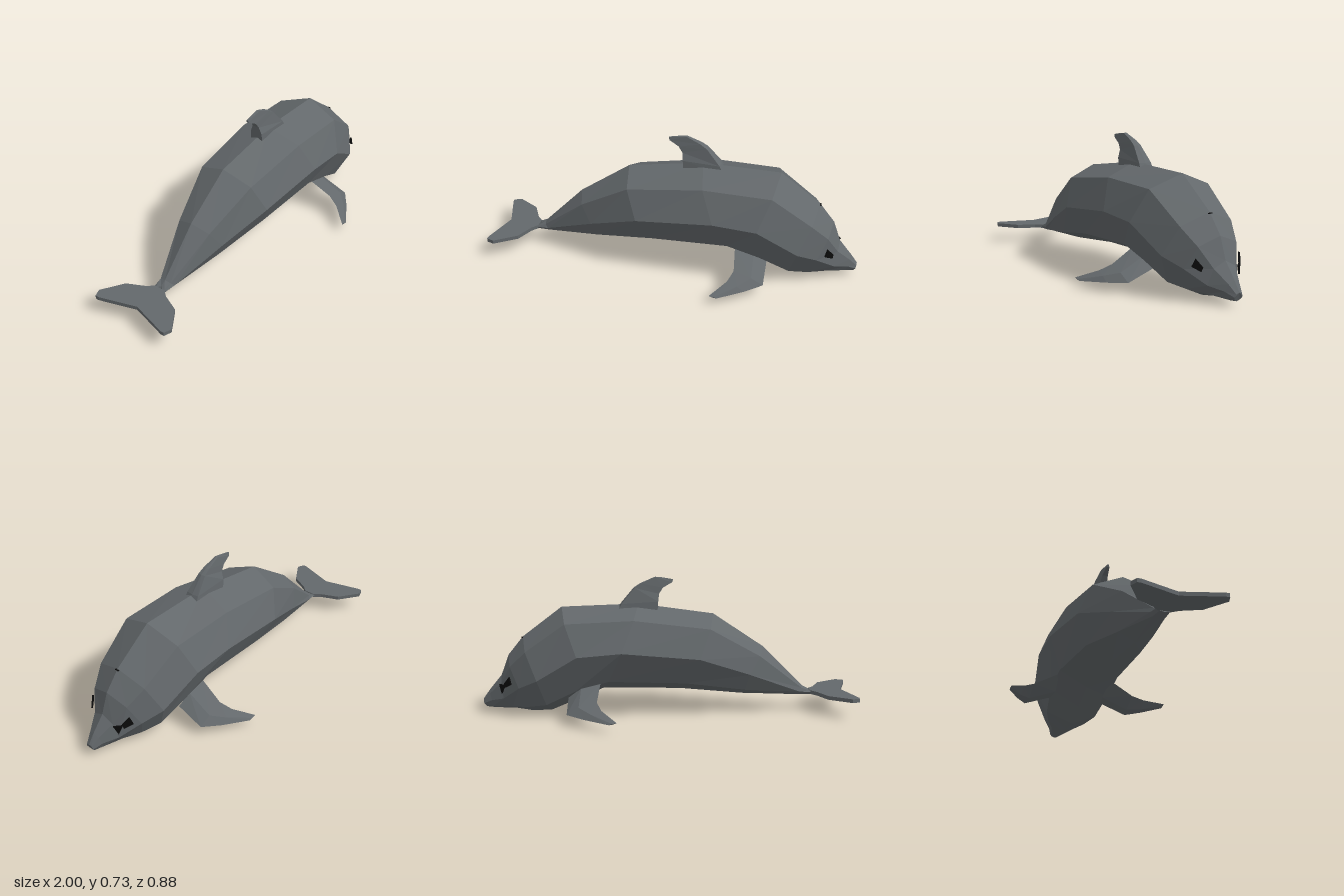
import * as THREE from 'three';

const skin = new THREE.MeshStandardMaterial({ color: 0x63686b });
skin.name = 'grey skin';
const black = new THREE.MeshStandardMaterial({ color: 0x0a0a0a });
black.name = 'black';

const MID = 0.01; // the body's centre plane in z

// Faceted solid through a list of equal-length rings, closed at both ends
function loft(rings) {
  const n = rings[0].length;
  const tris = [];
  for (let i = 0; i < rings.length - 1; i++) {
    for (let j = 0; j < n; j++) {
      const k = (j + 1) % n;
      const a = rings[i][j], b = rings[i][k], c = rings[i + 1][k], d = rings[i + 1][j];
      tris.push([a, b, d], [b, c, d]);
    }
  }
  const first = rings[0], last = rings[rings.length - 1];
  for (let j = 1; j < n - 1; j++) {
    tris.push([first[0], first[j + 1], first[j]], [last[0], last[j], last[j + 1]]);
  }
  return facets(tris);
}

// Flat-shaded geometry from a closed list of triangles, turned outward
function facets(tris) {
  const v = (p) => new THREE.Vector3(...p);
  let volume = 0;
  for (const [a, b, c] of tris) volume += v(a).dot(v(b).cross(v(c)));
  const points = tris.flatMap(([a, b, c]) => (volume < 0 ? [a, c, b] : [a, b, c]));
  const g = new THREE.BufferGeometry();
  g.setAttribute('position', new THREE.Float32BufferAttribute(points.flat(), 3));
  g.computeVertexNormals();
  return g;
}

function add(group, name, geometry, material = skin) {
  const mesh = new THREE.Mesh(geometry, material);
  mesh.name = name;
  group.add(mesh);
  return mesh;
}

// Body from tail to snout: back ridge, widest side line and belly ridge;
// the shoulder and lower side lines lie at fixed fractions between them
function bodyGeometry() {
  const stations = [
    { back: [-0.76, 0.11], side: [-0.78, 0.1], belly: [-0.78, 0.08], width: 0.035 },
    { back: [-0.73, 0.13], side: [-0.71, 0.105], belly: [-0.71, 0.08], width: 0.045 },
    { back: [-0.51, 0.35], side: [-0.43, 0.22], belly: [-0.4, 0.09], width: 0.135 },
    { back: [-0.24, 0.53], side: [-0.16, 0.32], belly: [-0.06, 0.12], width: 0.22 },
    { back: [0.16, 0.585], side: [0.25, 0.36], belly: [0.35, 0.125], width: 0.25 },
    { back: [0.57, 0.57], side: [0.48, 0.34], belly: [0.5, 0.06], width: 0.25 },
    { back: [0.78, 0.41], side: [0.69, 0.21], belly: [0.63, 0.005], width: 0.215 },
    { back: [0.86, 0.31], side: [0.79, 0.16], belly: [0.73, 0], width: 0.16 },
    { back: [0.9, 0.2], side: [0.88, 0.09], belly: [0.82, 0.015], width: 0.09 },
    { back: [0.965, 0.12], side: [0.95, 0.07], belly: [0.94, 0.02], width: 0.045 },
    { back: [1, 0.07], side: [0.995, 0.048], belly: [0.98, 0.025], width: 0.024 },
  ];
  const mix = (a, b, t) => a.map((c, i) => c + (b[i] - c) * t);
  return loft(stations.map(({ back, side, belly, width }) => {
    const flank = [
      [...mix(back, side, 0.29), width * 0.72],
      [...side, width],
      [...mix(belly, side, 0.3), width * 0.68],
    ];
    return [
      [...back, MID],
      ...flank.map(([x, y, w]) => [x, y, MID + w]),
      [...belly, MID],
      ...flank.reverse().map(([x, y, w]) => [x, y, MID - w]),
    ];
  }));
}

// Dorsal fin: [rear x, rear y, front x, front y, half width]
function dorsalFinGeometry() {
  const levels = [
    [0.06, 0.53, 0.27, 0.55, 0.047],
    [0.055, 0.6, 0.25, 0.588, 0.043],
    [0.05, 0.64, 0.18, 0.672, 0.025],
    [0.03, 0.672, 0.145, 0.695, 0.02],
    [-0.02, 0.7, 0.07, 0.728, 0.01],
    [-0.025, 0.715, 0.03, 0.725, 0.005],
  ];
  const z = 0.005;
  return loft(levels.map(([rx, ry, fx, fy, w]) => [
    [fx, fy, z + w * 0.85], [fx + 0.005, fy, z], [fx, fy, z - w * 0.85],
    [rx, ry, z - w * 0.8], [rx, ry, z + w * 0.8],
  ]));
}

// Flipper: leading and trailing edge points, with a diamond section between them
function flipperGeometry(side) {
  const spans = [
    [[0.53, 0.11, 0.15], [0.36, 0.19, 0.15], 0.02],
    [[0.53, 0.056, 0.3], [0.375, 0.118, 0.29], 0.014],
    [[0.44, 0.048, 0.365], [0.35, 0.09, 0.35], 0.01],
    [[0.31, 0.04, 0.44], [0.27, 0.05, 0.44], 0.003],
  ];
  return loft(spans.map(([lead, trail, t]) => {
    const mid = lead.map((c, i) => c * 0.6 + trail[i] * 0.4);
    const up = [mid[0], mid[1] + t, mid[2] + t * 0.5];
    const down = [mid[0], mid[1] - t, mid[2] - t * 0.5];
    return [lead, up, trail, down].map(([x, y, z]) => [x, y, z * side]);
  }));
}

// Tail flukes: a flat crescent, extruded upward
function flukeGeometry() {
  const half = [[-0.77, 0.03], [-0.8, 0.065], [-0.845, 0.16], [-0.96, 0.235], [-1, 0.22], [-1, 0.2]];
  const outline = [
    ...half.map(([x, w]) => new THREE.Vector2(x, w)),
    new THREE.Vector2(-0.94, 0),
    ...half.map(([x, w]) => new THREE.Vector2(x, -w)).reverse(),
  ];
  const g = new THREE.ExtrudeGeometry(new THREE.Shape(outline), { depth: 0.02, bevelEnabled: false });
  g.rotateX(-Math.PI / 2);
  return g.translate(0, 0.088, MID);
}

// Thin plate on the side of the head, from corners [x, y, half width]
function facePlate(corners, side) {
  const layer = (d) => corners.map(([x, y, w]) => [x + d, y, MID + side * (w + d)]);
  return loft([layer(0.003), layer(0.009)]);
}

export function createModel() {
  const model = new THREE.Group();
  model.name = 'dolphin';
  add(model, 'body', bodyGeometry());
  add(model, 'dorsalFin', dorsalFinGeometry());
  add(model, 'tailFlukes', flukeGeometry());

  const eye = [[0.836, 0.215, 0.125], [0.825, 0.178, 0.14], [0.862, 0.155, 0.11], [0.865, 0.175, 0.102]];
  for (const [label, side] of [['front', 1], ['back', -1]]) {
    add(model, label + 'Flipper', flipperGeometry(side));
    add(model, label + 'Eye', facePlate(eye, side), black);
  }
  // Extra corner marking on the far eye
  const corner = [[0.862, 0.17, 0.105], [0.895, 0.165, 0.07], [0.88, 0.12, 0.09]];
  add(model, 'backEyeCorner', facePlate(corner, -1), black);

  // Blowhole
  const blowhole = add(model, 'blowhole', new THREE.BoxGeometry(0.008, 0.004, 0.022), black);
  blowhole.position.set(0.783, 0.405, MID);
  return model;
}
